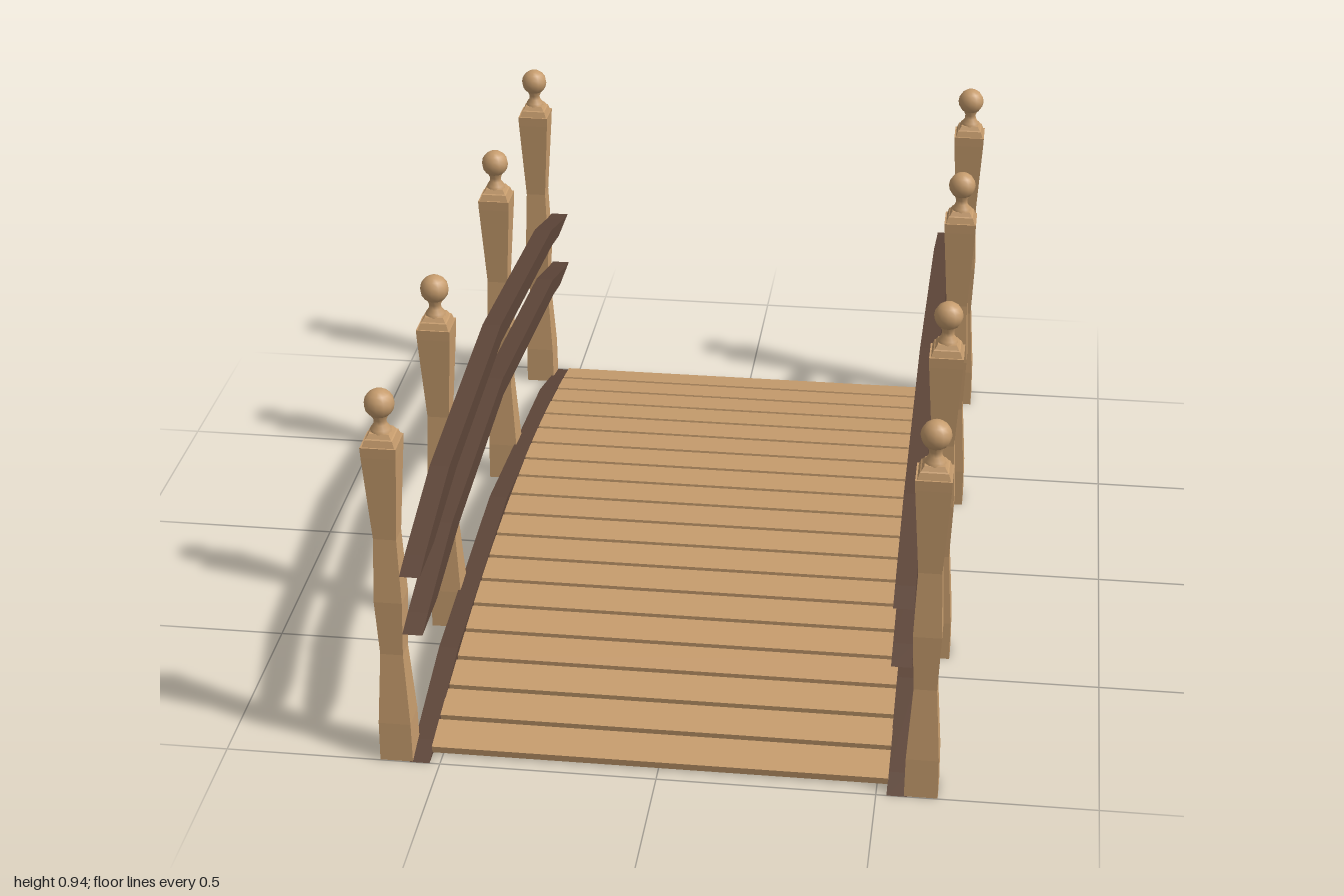
import * as THREE from 'three';

const V = (x, y) => new THREE.Vector2(x, y);

// Faceted square-section turning: [half width, height] pairs, bottom to top
function squareTurning(profile) {
  const pts = profile.map(([w, y]) => V(w * Math.SQRT2, y));
  const geo = new THREE.LatheGeometry(pts, 4, Math.PI / 4).toNonIndexed();
  geo.computeVertexNormals();
  return geo;
}

export function createModel() {
  const tan = new THREE.MeshStandardMaterial({ color: 0xc69c6d });
  tan.name = 'light wood';
  const dark = new THREE.MeshStandardMaterial({ color: 0x5d4538 });
  dark.name = 'dark wood';

  const bridge = new THREE.Group();
  bridge.name = 'footbridge';
  const add = (parent, geo, mat, name) => {
    const mesh = new THREE.Mesh(geo, mat);
    mesh.name = name;
    parent.add(mesh);
    return mesh;
  };

  // Arched beam, reused for the stringers and both handrails
  const beamShape = new THREE.Shape([
    V(-1, 0), V(-0.85, 0), V(-0.74, 0.02), V(0, 0.09), V(0.57, 0.047), V(0.84, 0),
    V(1, 0), V(0.935, 0.02), V(0.65, 0.09), V(0, 0.136), V(-0.74, 0.066), V(-0.935, 0.014),
  ]);
  const beamGeo = new THREE.ExtrudeGeometry(beamShape, { depth: 0.046, bevelEnabled: false });
  beamGeo.rotateY(-Math.PI / 2).translate(0.023, 0, 0);

  // Post shaft, stepped cap and ball finial
  const shaftGeo = squareTurning([
    [0, 0], [0.038, 0], [0.037, 0.1], [0.026, 0.28], [0.032, 0.42],
    [0.026, 0.58], [0.039, 0.79], [0.04, 0.815], [0, 0.815],
  ]);
  const capGeo = squareTurning([
    [0.036, 0.815], [0.031, 0.83], [0.028, 0.832], [0.022, 0.842], [0, 0.842],
  ]);
  const neckGeo = new THREE.LatheGeometry(
    [V(0.024, 0.84), V(0.022, 0.848), V(0.015, 0.858), V(0.014, 0.868), V(0.02, 0.882)], 12);
  const ballGeo = new THREE.SphereGeometry(0.034, 12, 8).translate(0, 0.907, 0);

  for (const [side, sx] of [['left', 1], ['right', -1]]) {
    for (const [part, y] of [['Stringer', 0], ['LowerRail', 0.345], ['UpperRail', 0.495]]) {
      add(bridge, beamGeo, dark, side + part).position.set(sx * 0.547, y, 0);
    }
    [0.96, 0.38, -0.38, -0.96].forEach((z, i) => {
      const post = new THREE.Group();
      post.name = `${side}Post${i + 1}`;
      post.position.set(sx * 0.601, 0, z);
      add(post, shaftGeo, tan, 'postShaft');
      add(post, capGeo, tan, 'postCap');
      add(post, neckGeo, tan, 'finialNeck');
      add(post, ballGeo, tan, 'finialBall');
      bridge.add(post);
    });
  }

  // Deck planks laid along the arch, each tilted to its slope
  const plankGeo = new THREE.BoxGeometry(1.05, 0.018, 0.09);
  const count = 19;
  for (let i = 0; i < count; i++) {
    const z = -0.92 + (1.84 * i) / (count - 1);
    const plank = add(bridge, plankGeo, tan, `deckPlank${i + 1}`);
    plank.position.set(0, 0.11 - 0.104 * z * z, z);
    plank.rotation.x = Math.atan(0.208 * z);
  }
  return bridge;
}
